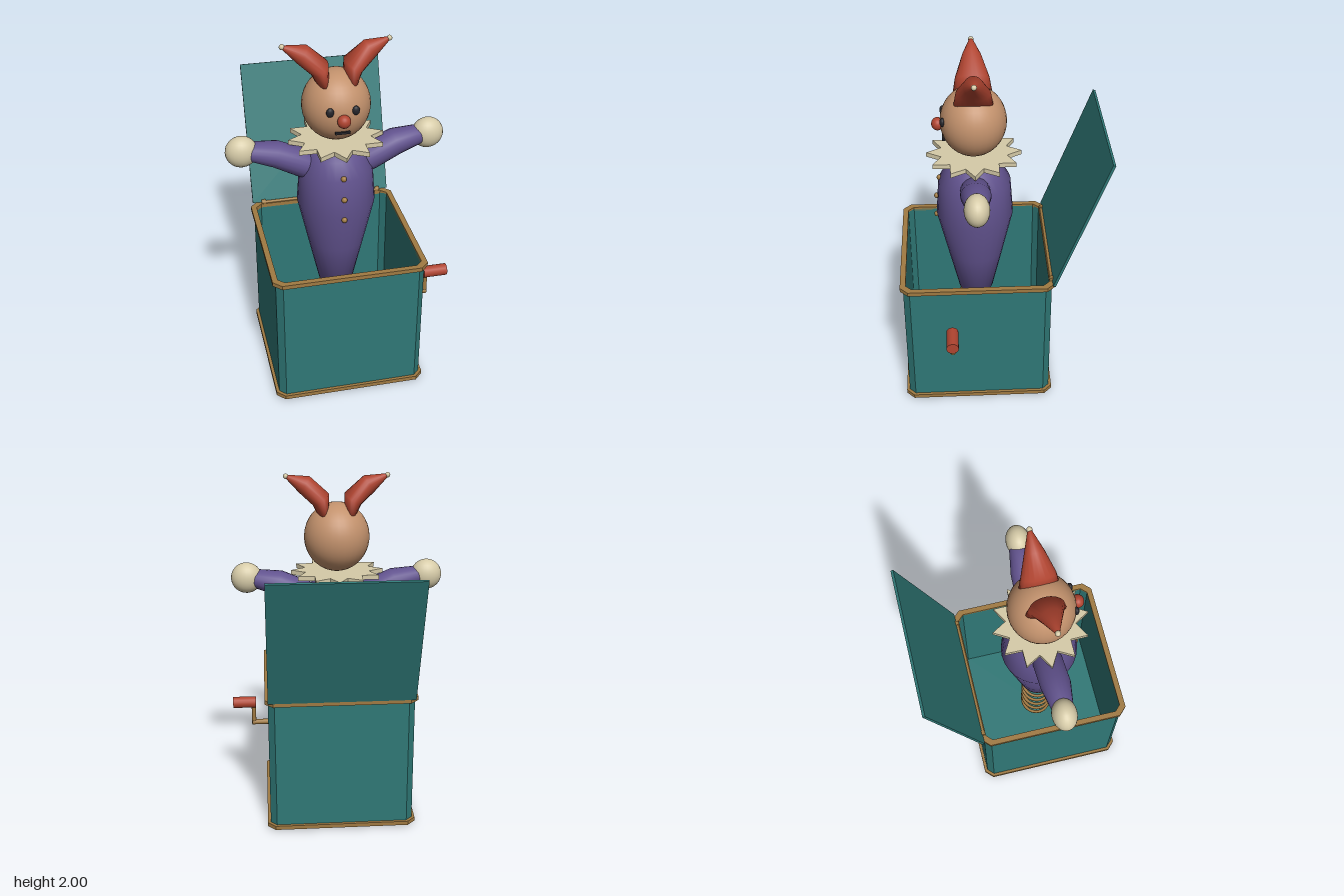
import * as THREE from 'three';

const mat = (color) => new THREE.MeshStandardMaterial({ color });

// Square outline with cut corners
function chamferedSquare(PathType, half, cut) {
  const h = half, k = half - cut, p = new PathType();
  p.setFromPoints([[k, -h], [h, -k], [h, k], [k, h], [-k, h], [-h, k], [-h, -k], [-k, -h]]
    .map(([x, y]) => new THREE.Vector2(x, y)));
  p.closePath();
  return p;
}

// Upright slab or ring, its bottom at y = 0
function slab(half, cut, height, innerHalf, innerCut) {
  const shape = chamferedSquare(THREE.Shape, half, cut);
  if (innerHalf) shape.holes.push(chamferedSquare(THREE.Path, innerHalf, innerCut));
  return new THREE.ExtrudeGeometry(shape, { depth: height, bevelEnabled: false }).rotateX(-Math.PI / 2);
}

// Elliptical sections [x, y, in-plane radius, z radius] joined along a path in the xy plane
function loft(sections, sides = 20) {
  const pos = [], index = [], n = sections.length;
  sections.forEach(([x, y, r, rz], i) => {
    const a = sections[Math.max(i - 1, 0)], b = sections[Math.min(i + 1, n - 1)];
    const len = Math.hypot(b[0] - a[0], b[1] - a[1]);
    const nx = -(b[1] - a[1]) / len, ny = (b[0] - a[0]) / len;
    for (let j = 0; j < sides; j++) {
      const t = (j / sides) * Math.PI * 2, c = Math.cos(t) * r;
      pos.push(x + nx * c, y + ny * c, Math.sin(t) * rz);
      if (i === n - 1) continue;
      const p = i * sides + j, q = i * sides + (j + 1) % sides;
      index.push(p, q, p + sides, q, q + sides, p + sides);
    }
  });
  const g = new THREE.BufferGeometry();
  g.setAttribute('position', new THREE.Float32BufferAttribute(pos, 3));
  g.setIndex(index);
  g.computeVertexNormals();
  return g;
}

export function createModel() {
  const teal = mat(0x2f7876), gold = mat(0xa07a42), purple = mat(0x62538f), skin = mat(0xc2916c);
  const red = mat(0xb04430), cream = mat(0xd6cba8), black = mat(0x24242a);

  const model = new THREE.Group();
  model.name = 'jackInTheBox';
  const root = new THREE.Group();
  root.name = 'toy';
  root.position.set(-0.011, 0, 0.141);
  model.add(root);

  const add = (parent, name, geometry, material, x = 0, y = 0, z = 0) => {
    const m = new THREE.Mesh(geometry, material);
    m.name = name;
    m.position.set(x, y, z);
    parent.add(m);
    return m;
  };
  const ball = (rx, ry = rx, rz = rx, seg = 24) =>
    new THREE.SphereGeometry(1, seg, Math.round(seg * 0.67)).scale(rx, ry, rz);

  // Open box with gold trims
  const box = new THREE.Group();
  box.name = 'box';
  root.add(box);
  add(box, 'boxWalls', slab(0.414, 0.036, 0.8, 0.4, 0.033), teal);
  add(box, 'boxFloor', slab(0.412, 0.036, 0.02), teal, 0, 0.001);
  add(box, 'bottomTrim', slab(0.431, 0.045, 0.024, 0.405, 0.035), gold, 0, 0.008);
  add(box, 'topTrim', slab(0.431, 0.045, 0.024, 0.4, 0.033), gold, 0, 0.788);

  // Lid leaning back on its hinge
  const lid = new THREE.Group();
  lid.name = 'lid';
  lid.position.set(0, 0.812, -0.418);
  lid.rotation.x = -0.351;
  root.add(lid);
  add(lid, 'lidPanel', new THREE.BoxGeometry(0.828, 0.828, 0.015), teal, 0, 0.416, -0.006);
  const rod = (r, l) => new THREE.CylinderGeometry(r, r, l, 16);
  add(root, 'hingeRod', rod(0.009, 0.72).rotateZ(Math.PI / 2), gold, 0, 0.815, -0.414);
  for (const s of [-1, 1])
    add(root, 'hingeKnuckle', rod(0.015, 0.025).rotateZ(Math.PI / 2), gold, s * 0.35, 0.816, -0.416);

  // Crank on the left wall
  const crank = new THREE.Group();
  crank.name = 'crank';
  crank.position.set(0, 0, 0.148);
  root.add(crank);
  add(crank, 'crankShaft', rod(0.016, 0.11).rotateZ(Math.PI / 2), gold, 0.456, 0.433);
  add(crank, 'crankArm', rod(0.013, 0.15), gold, 0.501, 0.495);
  add(crank, 'crankHandle', rod(0.034, 0.138).rotateZ(Math.PI / 2), red, 0.556, 0.567);

  // Spring under the body
  const coil = [];
  for (let i = 0; i <= 120; i++) {
    const a = (i / 20) * Math.PI * 2;
    coil.push(new THREE.Vector3(Math.cos(a) * 0.085, 0.03 + 0.0043 * i, Math.sin(a) * 0.085));
  }
  add(root, 'spring', new THREE.TubeGeometry(new THREE.CatmullRomCurve3(coil), 240, 0.01, 6), gold);

  // Clown figure
  const clown = new THREE.Group();
  clown.name = 'clown';
  root.add(clown);
  const profile = [[0, 0.53], [0.1, 0.53], [0.16, 0.8], [0.217, 1.06], [0.202, 1.27], [0.155, 1.36], [0.095, 1.44], [0, 1.45]];
  add(clown, 'body', new THREE.LatheGeometry(profile.map(([r, y]) => new THREE.Vector2(r, y)), 28), purple);
  for (const [y, z] of [[1.285, 0.194], [1.165, 0.213], [1.04, 0.216]])
    add(clown, 'button', ball(0.016, 0.016, 0.016, 12), gold, 0, y, z);

  // Pointed ruff
  const star = new THREE.Shape();
  star.setFromPoints(Array.from({ length: 24 }, (_, i) => {
    const a = (i / 24) * Math.PI * 2, r = i % 2 ? 0.187 : 0.262;
    return new THREE.Vector2(Math.cos(a) * r, Math.sin(a) * r);
  }));
  const ruff = new THREE.ExtrudeGeometry(star, { depth: 0.026, bevelEnabled: false }).rotateX(-Math.PI / 2);
  add(clown, 'ruff', ruff, cream, 0, 1.422);

  // Head and face
  add(clown, 'head', ball(0.185, 0.196, 0.181, 32), skin, 0, 1.641);
  add(clown, 'nose', ball(0.036, 0.036, 0.034), red, 0, 1.627, 0.193);
  add(clown, 'mouth', new THREE.BoxGeometry(0.08, 0.012, 0.02), black, 0, 1.548, 0.162);

  // Paired parts; each is symmetric in z, so a half turn mirrors it
  for (const s of [1, -1]) {
    add(clown, 'eye', ball(0.021, 0.026, 0.015, 16), black, s * 0.068, 1.672, 0.166);
    const side = new THREE.Group();
    side.name = s > 0 ? 'leftSide' : 'rightSide';
    if (s < 0) side.rotation.y = Math.PI;
    clown.add(side);
    add(side, 'arm', loft([[0.08, 1.255, 0, 0], [0.081, 1.256, 0.07, 0.07], [0.18, 1.3, 0.08, 0.083],
      [0.335, 1.375, 0.072, 0.083], [0.47, 1.405, 0.052, 0.06], [0.5, 1.407, 0, 0]]), purple);
    add(side, 'hand', ball(0.088, 0.088, 0.068), cream, 0.515, 1.409);
    add(side, 'hatHorn', loft([[0.075, 1.76, 0, 0], [0.076, 1.78, 0.034, 0.105], [0.09, 1.855, 0.055, 0.092],
      [0.18, 1.938, 0.054, 0.052], [0.28, 1.984, 0.01, 0.01], [0.285, 1.985, 0, 0]]), red);
    add(side, 'hatBell', ball(0.015, 0.015, 0.015, 12), cream, 0.282, 1.985);
  }
  return model;
}
